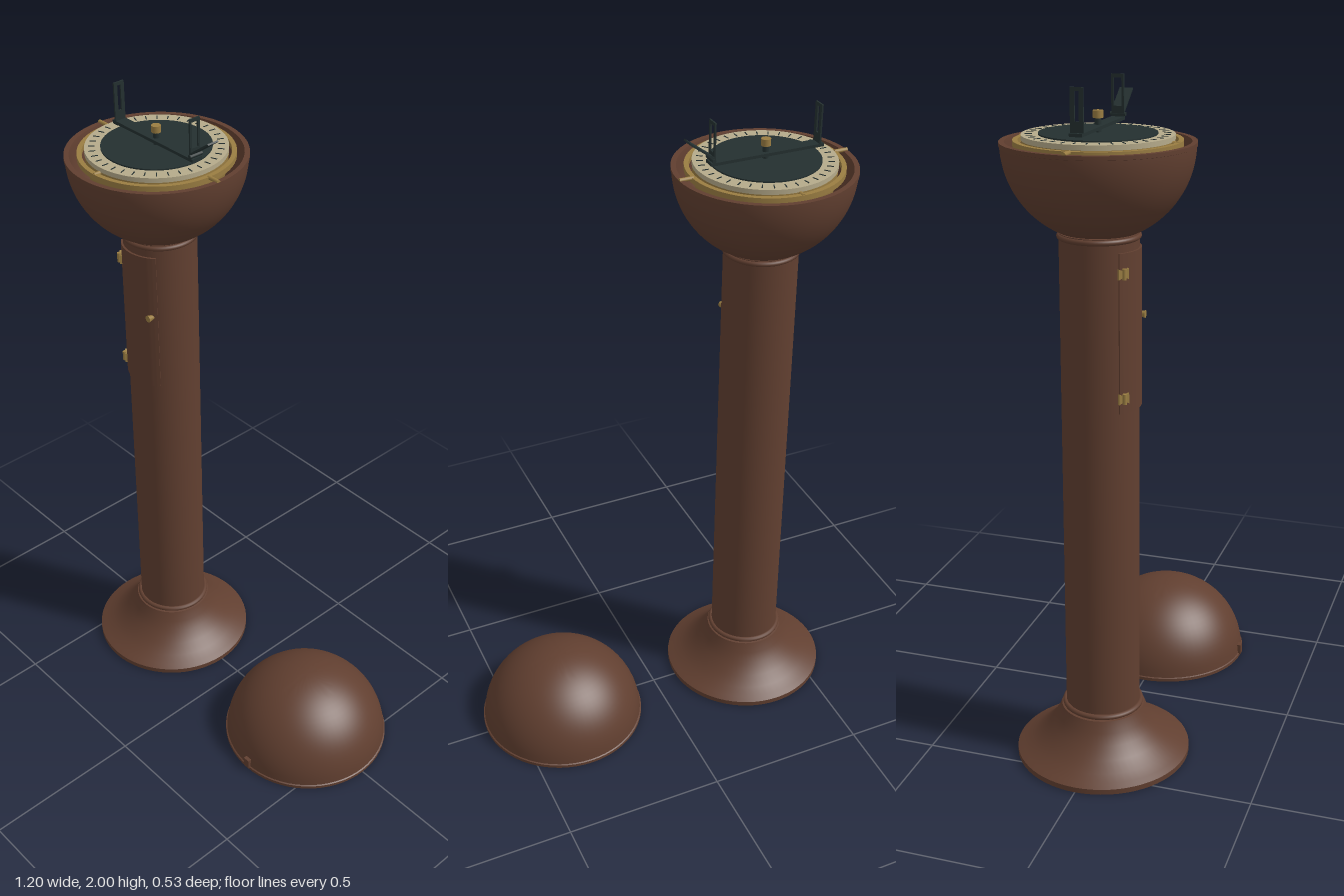
import * as THREE from 'three';
import { toCreasedNormals } from 'three/addons/utils/BufferGeometryUtils.js';

const mat = (name, color) => new THREE.MeshStandardMaterial({ name, color });

export function createModel() {
  const wood = mat('brown wood', 0x613f30);
  const brass = mat('brass', 0x9a7d42);
  const cream = mat('cream dial', 0xb5aa8a);
  const dark = mat('dark metal', 0x243030);

  const root = new THREE.Group();
  root.name = 'pedestalCompass';
  const stand = new THREE.Group();
  stand.name = 'stand';
  stand.position.x = -0.34;
  const cover = new THREE.Group();
  cover.name = 'cover';
  cover.position.x = 0.335;
  root.add(stand, cover);

  const add = (parent, name, geometry, material, x = 0, y = 0, z = 0) => {
    const m = new THREE.Mesh(geometry, material);
    m.name = name;
    m.position.set(x, y, z);
    parent.add(m);
    return m;
  };
  const lathe = (pts) => toCreasedNormals(
    new THREE.LatheGeometry(pts.map(([r, y]) => new THREE.Vector2(r, y)), 64), 0.5);
  const box = (w, h, d) => new THREE.BoxGeometry(w, h, d);
  const cyl = (r, h, n = 24) => new THREE.CylinderGeometry(r, r, h, n);
  // points on a circle of radius r about height cy, from angle a to b
  const arc = (r, cy, a, b, n = 20) => Array.from({ length: n + 1 }, (_, i) => {
    const t = a + (b - a) * i / n;
    return [Math.max(0, r * Math.cos(t)), cy + r * Math.sin(t)];
  });

  // flared foot, column and collars
  add(stand, 'foot', lathe([[0, 0], [0.26, 0], [0.26, 0.016], [0.243, 0.025], [0.215, 0.04],
    [0.185, 0.064], [0.158, 0.094], [0.137, 0.125], [0.124, 0.158], [0.11, 0.16]]), wood);
  add(stand, 'column', cyl(0.11, 1.45, 64), wood, 0, 0.875, 0);
  for (const [name, r, y] of [['footCollar', 0.113, 0.166], ['bowlCollar', 0.108, 1.59]]) {
    add(stand, name, new THREE.TorusGeometry(r, 0.008, 10, 64), wood, 0, y, 0).rotation.x = Math.PI / 2;
  }

  // hollow bowl
  const H = Math.PI / 2;
  add(stand, 'bowl', lathe([[0, 1.593], ...arc(0.262, 1.84, -1.14, -0.03), [0.264, 1.833],
    [0.264, 1.844], [0.249, 1.844], ...arc(0.247, 1.84, -0.03, -H)]), wood);

  // curved door on the front of the column
  const sector = new THREE.Shape();
  const half = 0.76;
  sector.absarc(0, 0, 0.116, -H - half, -H + half, false);
  sector.absarc(0, 0, 0.104, -H + half, -H - half, true);
  const doorGeo = new THREE.ExtrudeGeometry(sector, { depth: 0.45, bevelEnabled: false, curveSegments: 20 });
  doorGeo.rotateX(-H);
  add(stand, 'door', toCreasedNormals(doorGeo, 0.5), wood, 0, 1.11, 0);

  // hinges and door knob
  for (const y of [1.155, 1.505]) {
    const hinge = new THREE.Group();
    hinge.name = 'hinge';
    hinge.position.set(-0.073, y, 0.092);
    hinge.rotation.y = -0.67;
    add(hinge, 'hingePin', cyl(0.006, 0.03, 12), brass, 0, 0, 0.006);
    for (const s of [-1, 1]) {
      const leaf = new THREE.Shape([[0, -0.008], [0.016, -0.015], [0.016, 0.015], [0, 0.008]]
        .map(([x, y2]) => new THREE.Vector2(s * x, y2)));
      add(hinge, 'hingeLeaf', new THREE.ExtrudeGeometry(leaf, { depth: 0.008, bevelEnabled: false }), brass, 0, 0, -0.004);
    }
    stand.add(hinge);
  }
  const knob = add(stand, 'doorKnob', toCreasedNormals(
    new THREE.CylinderGeometry(0.011, 0.006, 0.022, 16), 0.5), brass, 0.066, 1.36, 0.1);
  knob.rotation.set(H, 0, 0);

  // compass body, gimbal ring and pivots
  add(stand, 'compassBody', lathe([...arc(0.204, 1.842, -H, 0), [0.204, 1.85], [0, 1.85]]), brass);
  add(stand, 'gimbalRing', lathe([[0.213, 1.848], [0.213, 1.832], [0.227, 1.832],
    [0.227, 1.848], [0.213, 1.848]]), brass);
  for (const s of [-1, 1]) {
    add(stand, 'outerPivot', cyl(0.006, 0.042, 12), brass, s * 0.242, 1.845, 0).rotation.z = H;
    add(stand, 'innerPivot', cyl(0.006, 0.025, 12), brass, 0, 1.845, s * 0.212).rotation.x = H;
  }

  // dial with degree marks
  add(stand, 'dial', cyl(0.205, 0.014, 64), cream, 0, 1.855, 0);
  add(stand, 'dialCentre', cyl(0.159, 0.004, 64), dark, 0, 1.864, 0);
  for (let i = 0; i < 36; i++) {
    const a = i * Math.PI / 18;
    const tick = add(stand, 'degreeMark', box(0.019, 0.002, 0.003), dark,
      0.184 * Math.cos(a), 1.8625, 0.184 * Math.sin(a));
    tick.rotation.y = -a;
  }

  // sighting bar with centre pivot
  const sight = new THREE.Group();
  sight.name = 'sight';
  stand.add(sight);
  add(sight, 'sightBar', box(0.35, 0.009, 0.036), dark, 0, 1.881, 0);
  add(sight, 'sightPivot', cyl(0.009, 0.04, 16), dark, 0, 1.883, 0);
  add(sight, 'sightKnob', cyl(0.014, 0.02, 16), brass, 0, 1.913, 0);

  // upright vanes with open slots
  const vane = (name, x, slot) => {
    const s = new THREE.Shape();
    s.moveTo(-0.018, 0).lineTo(0.018, 0).lineTo(0.018, 0.116).lineTo(-0.018, 0.116).closePath();
    const h = new THREE.Path();
    h.moveTo(-slot, 0.03).lineTo(-slot, 0.106).lineTo(slot, 0.106).lineTo(slot, 0.03).closePath();
    s.holes.push(h);
    const g = new THREE.ExtrudeGeometry(s, { depth: 0.005, bevelEnabled: false });
    g.translate(0, 0, -0.0025).rotateY(H);
    add(sight, name, g, dark, x, 1.884, 0);
  };
  vane('rearVane', -0.163, 0.006);
  vane('frontVane', 0.165, 0.011);
  add(sight, 'vaneHinge', cyl(0.006, 0.044, 12), dark, 0.168, 1.892, 0).rotation.x = H;

  // tilted mirror
  const mirror = add(sight, 'mirror', box(0.092, 0.005, 0.038), dark, 0.204, 1.926, 0);
  mirror.rotation.z = 0.63;

  // hollow dome cover with a small catch
  add(cover, 'dome', lathe([...arc(0.247, 0, H, 0.02), [0.247, 0], [0.264, 0], [0.264, 0.01],
    [0.26, 0.012], ...arc(0.26, 0, 0.07, H).map(([r, y]) => [r, y * 0.96])]), wood);
  add(cover, 'catch', box(0.022, 0.034, 0.012), wood, 0, 0.024, 0.262);
  return root;
}
